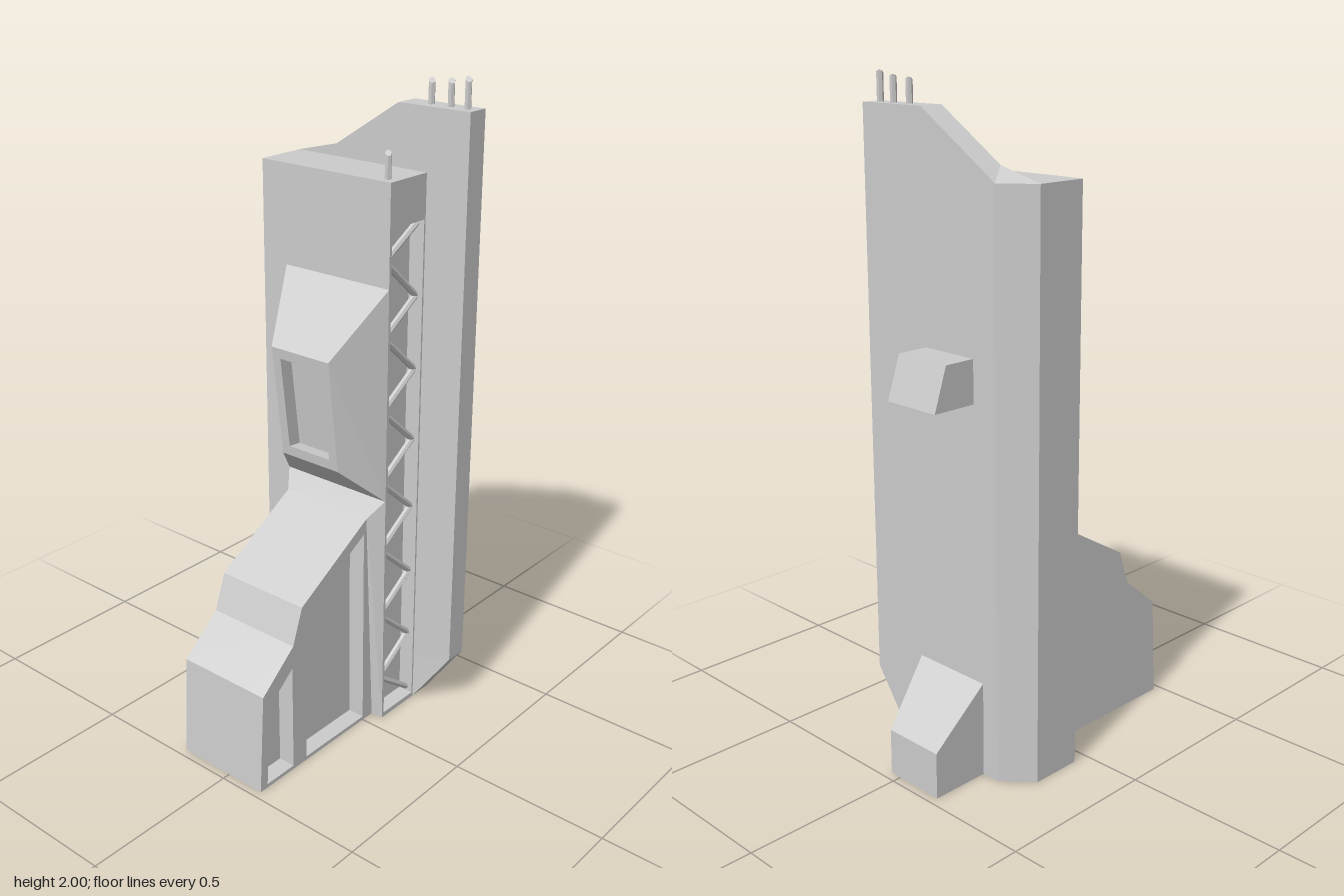
import * as THREE from 'three';
import { mergeGeometries } from 'three/addons/utils/BufferGeometryUtils.js';

const material = new THREE.MeshStandardMaterial({ color: 0xcccccc, flatShading: true });
const toVectors = pts => pts.map(([x, y]) => new THREE.Vector2(x, y));

function addMesh(group, name, geometry) {
  const mesh = new THREE.Mesh(geometry, material);
  mesh.name = name;
  group.add(mesh);
  return mesh;
}

// Prism of an x-y outline running from z0 to z1
function prism(outline, z0, z1, holes = []) {
  const shape = new THREE.Shape(toVectors(outline));
  shape.holes = holes.map(h => new THREE.Path(toVectors(h)));
  return new THREE.ExtrudeGeometry(shape, { depth: z1 - z0, bevelEnabled: false }).translate(0, 0, z0);
}

// Prism whose front face has sunken panels
function panelled(outline, z0, z1, panels, depth) {
  return mergeGeometries([
    prism(outline, z0, z1 - depth),
    prism(outline, z1 - depth, z1, panels),
  ]);
}

// Move every vertex by a rule
function reshape(geometry, rule) {
  const p = geometry.attributes.position;
  const v = new THREE.Vector3();
  for (let i = 0; i < p.count; i++) {
    rule(v.fromBufferAttribute(p, i));
    p.setXYZ(i, v.x, v.y, v.z);
  }
  geometry.computeVertexNormals();
  return geometry;
}

// Four-cornered loop facing -x, from its top and bottom edges
const loop = (xTop, yTop, xBottom, yBottom, zBack, zFront) => [
  [xTop, yTop, zBack], [xBottom, yBottom, zBack],
  [xBottom, yBottom, zFront], [xTop, yTop, zFront],
];

// Skin through successive loops, capped at the last
function loft(loops) {
  const pos = [];
  const quad = (a, b, c, d) => pos.push(...a, ...b, ...c, ...a, ...c, ...d);
  for (let k = 0; k + 1 < loops.length; k++) {
    for (let i = 0; i < 4; i++) {
      const j = (i + 1) % 4;
      quad(loops[k][i], loops[k][j], loops[k + 1][j], loops[k + 1][i]);
    }
  }
  quad(...loops[loops.length - 1]);
  const g = new THREE.BufferGeometry();
  g.setAttribute('position', new THREE.Float32BufferAttribute(pos, 3));
  g.computeVertexNormals();
  return g;
}

export function createModel() {
  const model = new THREE.Group();
  model.name = 'tower';

  // Main shaft with a tall channel in its front
  addMesh(model, 'shaft', panelled(
    [[0.048, 0], [0.21, 0], [0.21, 1.733], [0.048, 1.733]], -0.305, 0.17,
    [[[0.057, 0.015], [0.057, 1.6], [0.204, 1.6], [0.204, 0.015]]], 0.05));

  // Zigzag lattice in the channel
  const nodes = [[0.204, 1.59]];
  for (let k = 0; k < 7; k++) {
    nodes.push([0.057, 1.505 - 0.228 * k]);
    nodes.push([0.204, k < 6 ? 1.372 - 0.227 * k : 0.03]);
  }
  const lattice = new THREE.Group();
  lattice.name = 'lattice';
  for (let i = 0; i + 1 < nodes.length; i++) {
    const a = new THREE.Vector3(...nodes[i], 0.145);
    const b = new THREE.Vector3(...nodes[i + 1], 0.145);
    const strut = addMesh(lattice, 'strut', new THREE.CylinderGeometry(0.01, 0.01, a.distanceTo(b), 6));
    strut.position.copy(a).lerp(b, 0.5);
    strut.quaternion.setFromUnitVectors(new THREE.Vector3(0, 1, 0), b.sub(a).normalize());
  }
  model.add(lattice);

  // Tall side slab: outline in (-z, y), back edge chamfered towards the shaft
  const slab = prism([
    [-0.305, 0.19], [-0.17, 0], [0.215, 0], [0.215, 1.733],
    [0.16, 1.77], [-0.065, 1.915], [-0.305, 1.915],
  ], 0, 0.077).rotateY(Math.PI / 2).translate(0.21, 0, 0);
  addMesh(model, 'sideSlab', reshape(slab, v => {
    if (v.x < 0.22 && v.z < -0.2) v.z = -0.305;
    if (v.x < 0.22 && v.z > 0.3) v.x = 0.217;
  }));

  // Bulge on the right with a sunken window
  addMesh(model, 'bulge', loft([
    loop(0.048, 1.43, 0.048, 0.77, -0.215, 0.17),
    loop(-0.115, 1.237, -0.072, 0.885, -0.13, 0.085),
    loop(-0.111, 1.205, -0.076, 0.917, -0.1, 0.055),
    loop(-0.066, 1.2, -0.031, 0.912, -0.1, 0.055),
  ]));

  // Stepped buttress and the flare joining it to the shaft
  addMesh(model, 'buttress', panelled([
    [-0.475, 0], [0.046, 0], [0.008, 0.715], [-0.285, 0.542], [-0.325, 0.43], [-0.456, 0.32],
  ], -0.185, 0.13, [
    [[-0.445, 0.012], [-0.433, 0.272], [-0.33, 0.357], [-0.33, 0.012]],
    [[-0.27, 0.012], [-0.264, 0.515], [-0.003, 0.667], [0, 0.012]],
  ], 0.055));
  addMesh(model, 'buttressFlare', loft([
    loop(0.048, 0.772, 0.05, 0, -0.215, 0.17),
    loop(0.008, 0.715, 0.046, 0, -0.185, 0.13),
  ]));

  // Upper pod on the left
  addMesh(model, 'upperPod', panelled(
    [[0.285, 1.127], [0.43, 1.127], [0.387, 1.255], [0.285, 1.255]], -0.13, 0.06,
    [[[0.295, 1.137], [0.295, 1.245], [0.377, 1.245], [0.412, 1.137]]], 0.035));

  // Lower pod on the left, its front swept back
  const pod = panelled(
    [[0.285, 0], [0.473, 0], [0.473, 0.142], [0.285, 0.295]], -0.16, 0.105,
    [[[0.3, 0.02], [0.3, 0.255], [0.452, 0.128], [0.452, 0.02]]], 0.035);
  addMesh(model, 'lowerPod', reshape(pod, v => {
    if (v.z > 0) v.z -= 0.36 * (v.x - 0.285);
  }));

  // Short masts with slanted tips
  for (const [x, z, y0, y1] of [
    [0.25, 0.272, 1.915, 1.995], [0.25, 0.216, 1.915, 1.985],
    [0.25, 0.15, 1.915, 1.98], [0.077, 0.137, 1.733, 1.805],
  ]) {
    const mast = new THREE.CylinderGeometry(0.01, 0.01, y1 - y0, 6).toNonIndexed();
    reshape(mast, v => { if (v.y > 0) v.y += 0.5 * (v.x - v.z); });
    addMesh(model, 'mast', mast).position.set(x, (y0 + y1) / 2, z);
  }
  return model;
}
